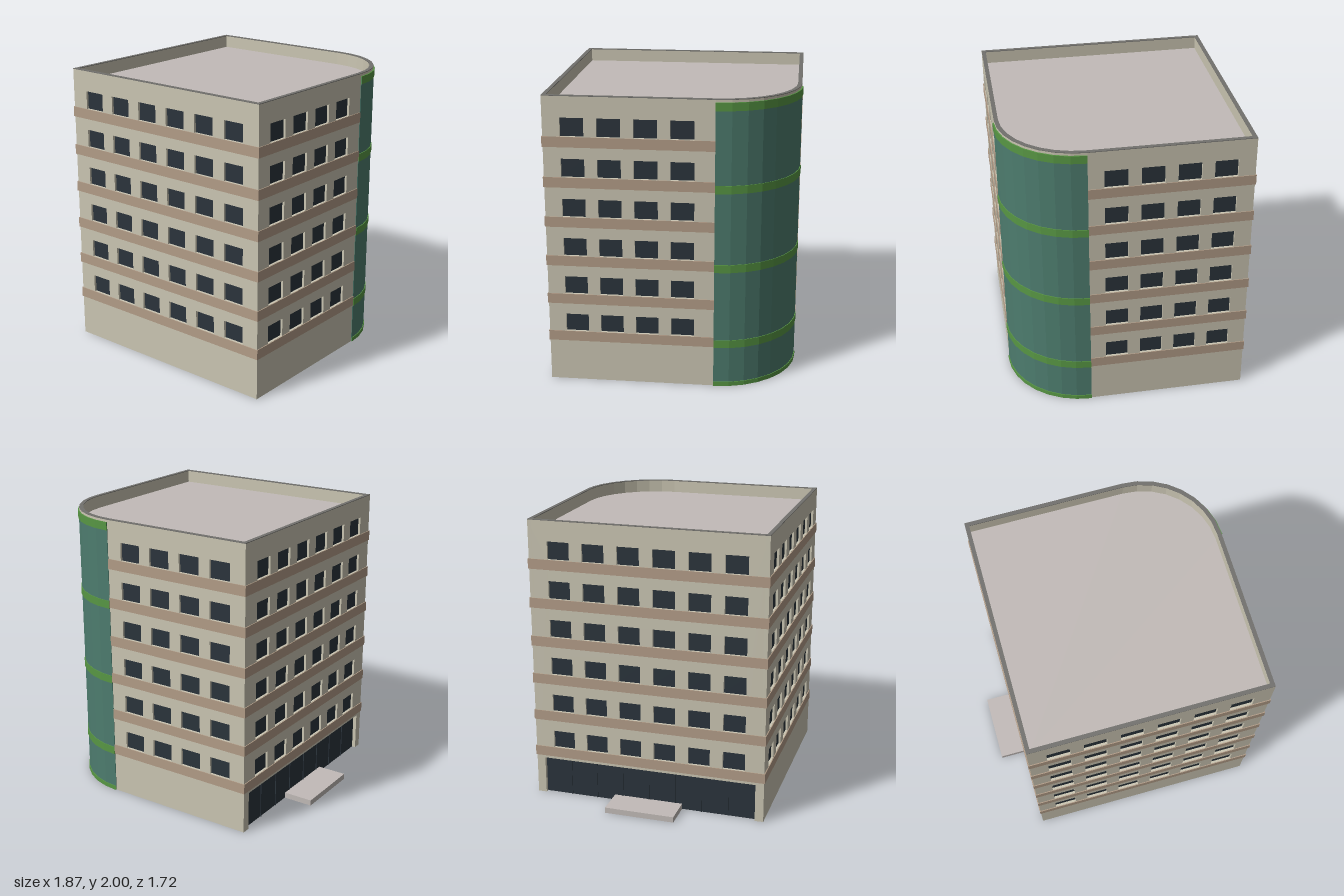
import * as THREE from 'three';

const mat = (name, color, side = THREE.FrontSide) => {
  const m = new THREE.MeshStandardMaterial({ color, side, flatShading: true });
  m.name = name;
  return m;
};

export function createModel() {
  const M = {
    wall: mat('cream wall', 0xcbc6b3),
    band: mat('tan band', 0xb39d88),
    pane: mat('dark window', 0x2b343c, THREE.DoubleSide),
    glass: mat('teal glass', 0x4d7c6e),
    trim: mat('green trim', 0x589744),
    roof: mat('pale roof', 0xc2bbb8),
    cap: mat('grey coping', 0x72716e),
  };
  const HX = 0.815, HZ = 0.828, R = 0.535, T = 0.028, H = 2, CAP = 0.004;
  const FLOOR = 0.2738, SEGS = 8;
  const building = new THREE.Group();
  building.name = 'building';

  const add = (parent, name, geo, material, x = 0, y = 0, z = 0) => {
    const m = new THREE.Mesh(geo, material);
    m.name = name;
    m.position.set(x, y, z);
    parent.add(m);
    return m;
  };

  // Rounded back-right corner: arc points in plan (x, -z), grown by d
  const arc = (d) => Array.from({ length: SEGS + 1 }, (_, i) => {
    const a = (i / SEGS) * Math.PI / 2;
    return new THREE.Vector2(HX - R + (R + d) * Math.cos(a), HZ - R + (R + d) * Math.sin(a));
  });
  // Whole footprint, grown by d
  const footprint = (d) => [
    new THREE.Vector2(-HX - d, -HZ - d), new THREE.Vector2(HX + d, -HZ - d),
    ...arc(d), new THREE.Vector2(-HX - d, HZ + d),
  ];
  const slab = (name, pts, hole, y0, y1, material) => {
    const shape = new THREE.Shape(pts);
    if (hole) shape.holes.push(new THREE.Path(hole));
    const geo = new THREE.ExtrudeGeometry(shape, { depth: y1 - y0, bevelEnabled: false });
    geo.rotateX(-Math.PI / 2);
    return add(building, name, geo, material, 0, y0, 0);
  };

  // Flat wall with window openings; local x runs along it, local z faces out
  const makeWall = (name, x, z, turn, length, centres, entrance, ends) => {
    const g = new THREE.Group();
    g.name = name;
    g.position.set(x, 0, z);
    g.rotation.y = turn;
    building.add(g);

    const shape = new THREE.Shape();
    const e0 = 0.06, e1 = length - 0.06, eh = 0.27;
    shape.moveTo(0, 0);
    if (entrance) {
      shape.lineTo(e0, 0); shape.lineTo(e0, eh);
      shape.lineTo(e1, eh); shape.lineTo(e1, 0);
    }
    shape.lineTo(length, 0);
    shape.lineTo(length, H - CAP);
    shape.lineTo(0, H - CAP);
    shape.closePath();

    const w = 0.155, h = 0.125;
    for (let f = 0; f < 6; f++) {
      const y = 0.361 + f * FLOOR;
      for (const c of centres) {
        shape.holes.push(new THREE.Path([
          new THREE.Vector2(c - w / 2, y), new THREE.Vector2(c - w / 2, y + h),
          new THREE.Vector2(c + w / 2, y + h), new THREE.Vector2(c + w / 2, y),
        ]));
        add(g, 'window', new THREE.PlaneGeometry(w, h), M.pane, c, y + h / 2, -0.016);
      }
      // Floor band, wrapping slightly past the square corners
      const a = -ends[0], b = length + ends[1];
      add(g, 'floorBand', new THREE.BoxGeometry(b - a, 0.07, 0.012), M.band,
        (a + b) / 2, y - 0.036, 0);
    }
    add(g, 'wallPanel', new THREE.ExtrudeGeometry(shape, { depth: T, bevelEnabled: false }),
      M.wall, 0, 0, -T);

    // Glazed ground-floor entrance
    if (entrance) {
      add(g, 'entranceGlass', new THREE.PlaneGeometry(e1 - e0, eh), M.pane,
        length / 2, eh / 2, -T + 0.002);
      for (let i = 1; i < 8; i++) {
        add(g, 'entranceMullion', new THREE.BoxGeometry(0.006, eh, 0.006), M.pane,
          e0 + (e1 - e0) * i / 8, eh / 2, -T + 0.005);
      }
    }
  };

  const row = (n, start, step) => Array.from({ length: n }, (_, i) => start + i * step);
  const LX = 2 * HX, LZ = 2 * HZ, B = 0.006;
  makeWall('frontWall', -HX, HZ, 0, LX, row(6, LX / 2 - 0.615, 0.246), false, [B, B]);
  makeWall('rightWall', HX, HZ, Math.PI / 2, LZ - R, row(4, 0.193, 0.239), false, [B, 0]);
  makeWall('backWall', HX - R, -HZ, Math.PI, LX - R,
    row(4, 0.193, 0.239).map((t) => LX - R - t), false, [0, B]);
  makeWall('leftWall', -HX, -HZ, -Math.PI / 2, LZ, row(6, LZ / 2 - 0.615, 0.246), true, [B, B]);

  // Curved glazed corner with green rings
  const curved = (name, d0, d1, y0, y1, material) =>
    slab(name, [...arc(d1), ...arc(d0).reverse()], null, y0, y1, material);
  curved('cornerWall', -T, 0, 0, H - CAP, M.wall);
  curved('cornerGlass', -0.002, 0.004, 0.002, 1.975, M.glass);
  [[0, 0.03], [0.285, 0.34], [0.83, 0.885], [1.377, 1.432], [1.925, 1.98]].forEach(([a, b]) =>
    curved('cornerRing', -0.002, 0.009, a, b, M.trim));

  // Roof deck sunk behind the parapet, and the parapet coping
  slab('roofDeck', footprint(-T + 0.004), null, 1.9, 1.91, M.roof);
  slab('parapetCoping', footprint(0), footprint(-T), H - CAP, H, M.cap);

  // Entrance step
  add(building, 'entranceStep', new THREE.BoxGeometry(0.21, 0.04, 0.495), M.roof,
    -0.895, 0.02, -0.004);

  // The block stands slightly turned on its plot
  building.rotation.y = 0.049;
  building.position.set(0.074, 0, -0.008);
  const model = new THREE.Group();
  model.name = 'officeBlock';
  model.add(building);
  return model;
}
